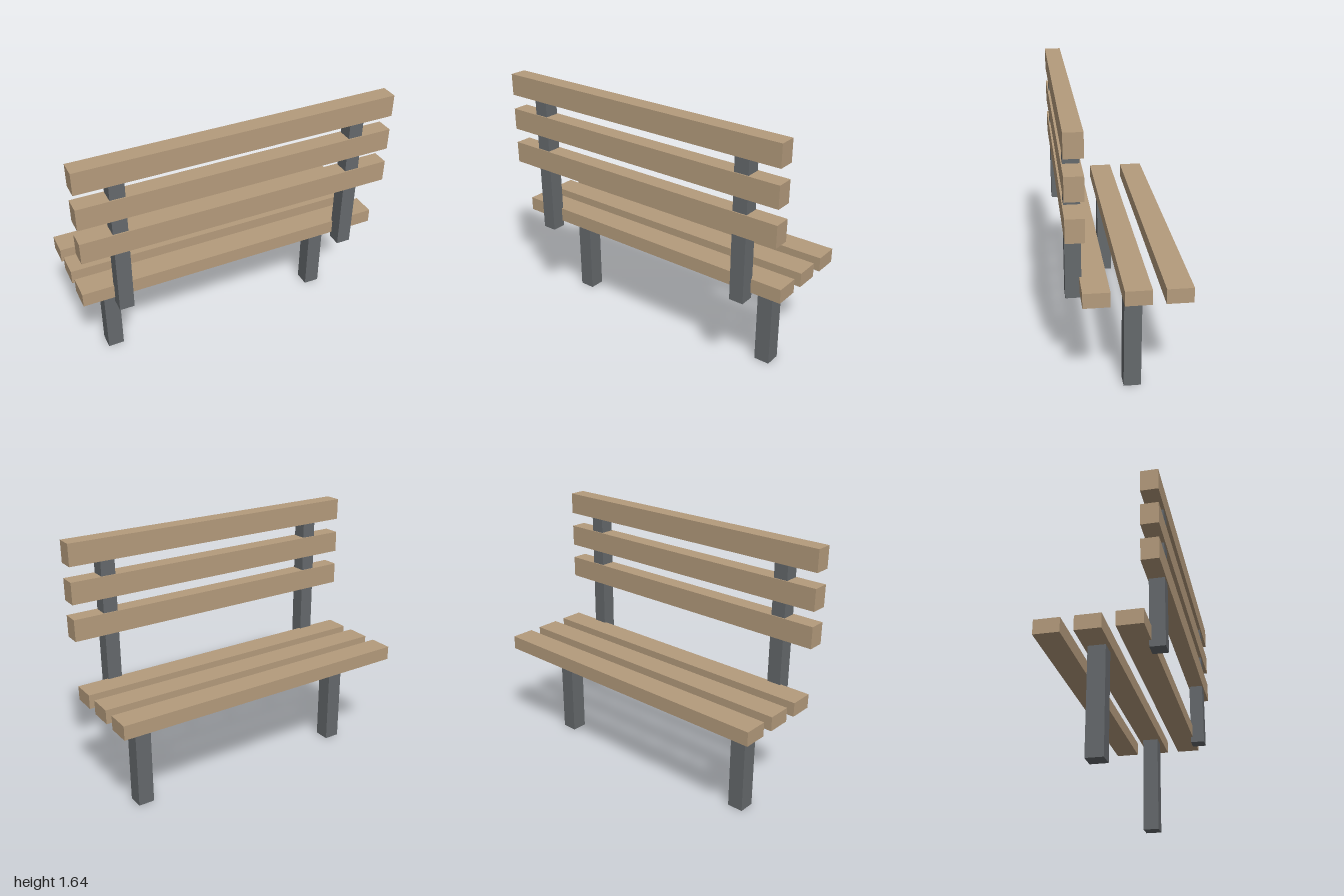
import * as THREE from 'three';

export function createModel() {
  const bench = new THREE.Group();
  bench.name = 'bench';
  const wood = new THREE.MeshStandardMaterial({ color: 0xb49b7c });
  const metal = new THREE.MeshStandardMaterial({ color: 0x65696c });

  // Box given by its size and the centre of its underside
  function addBox(name, material, [w, h, d], [x, y, z]) {
    const mesh = new THREE.Mesh(new THREE.BoxGeometry(w, h, d), material);
    mesh.name = name;
    mesh.position.set(x, y + h / 2, z);
    bench.add(mesh);
  }

  for (let i = 0; i < 3; i++) {
    // Seat slats, front to back
    addBox('seatSlat' + (i + 1), wood, [2, 0.09, 0.153], [0, 0.65, 0.187 - i * 0.23]);
    // Backrest slats, bottom to top
    addBox('backSlat' + (i + 1), wood, [2, 0.138, 0.106], [0, 1.04 + i * 0.232, 0.297]);
  }

  // Legs under the middle slat and posts carrying the backrest
  for (const [side, s] of [['left', 1], ['right', -1]]) {
    addBox(side + 'Leg', metal, [0.104, 0.65, 0.104], [s * 0.757, 0, -0.042]);
    addBox(side + 'BackPost', metal, [0.092, 0.91, 0.092], [s * 0.757, 0.61, 0.297]);
  }
  return bench;
}
